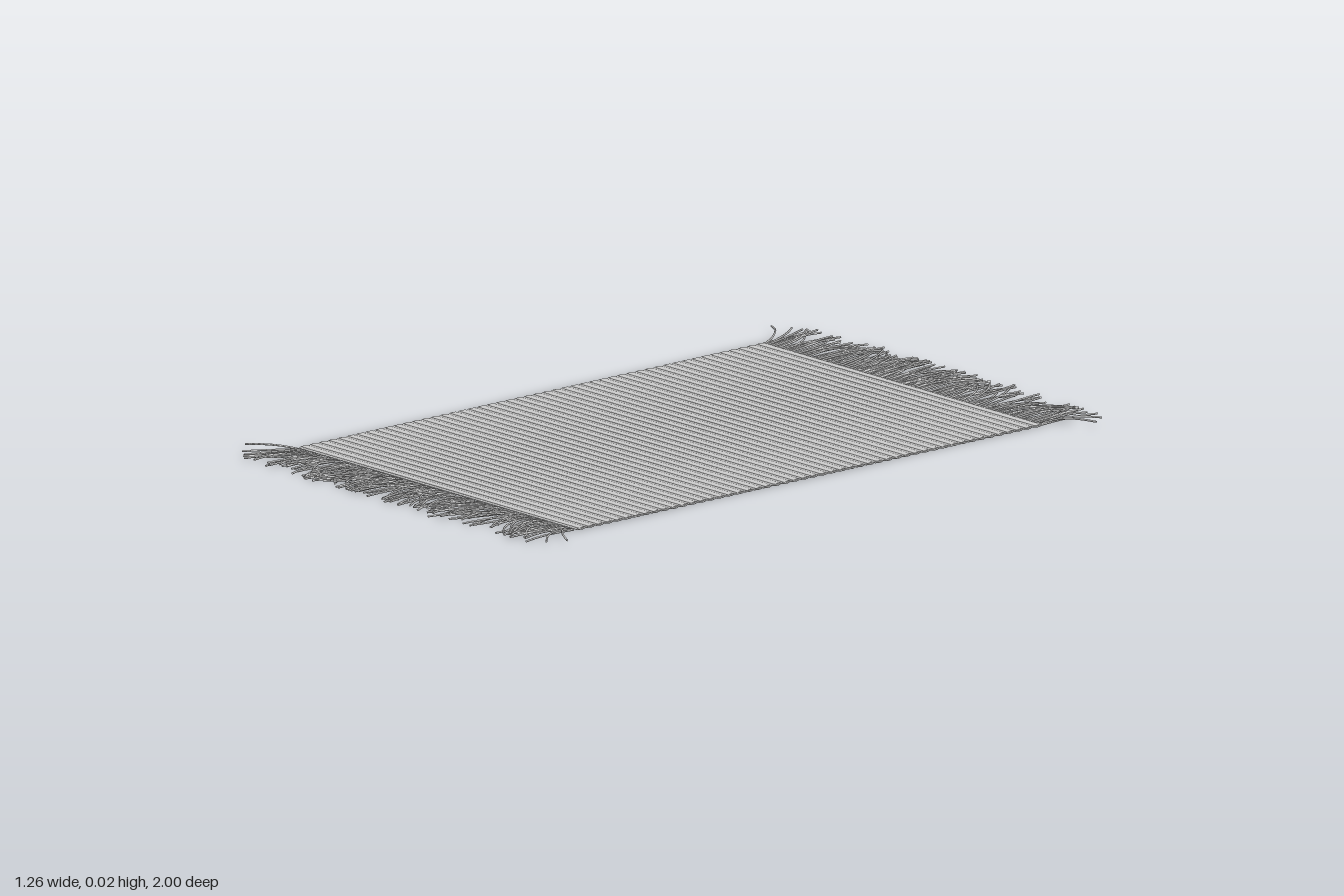
import * as THREE from 'three';
import { mergeGeometries } from 'three/addons/utils/BufferGeometryUtils.js';

const X0 = -0.545, X1 = 0.535;        // long edges of the woven field
const Z0 = -0.798, Z1 = 0.785;        // short edges of the woven field
const ROWS = 50, PITCH = (Z1 - Z0) / ROWS;

function seeded(seed) {
  return () => {
    seed = (seed * 16807) % 2147483647;
    return seed / 2147483647;
  };
}

// Flattened yarn running across the rug
function yarn(z, width, height) {
  const g = new THREE.CylinderGeometry(0.5, 0.5, X1 - X0, 10, 1);
  g.rotateZ(Math.PI / 2);
  g.scale(1, height, width);
  return g.translate((X0 + X1) / 2, height / 2, z);
}

// Half loop turning one row into the next at a long edge
function edgeLoop(side, z) {
  const g = new THREE.TorusGeometry(PITCH * 0.32, 0.003, 6, 8, Math.PI);
  g.rotateZ(-Math.PI / 2);
  g.rotateX(Math.PI / 2);
  g.scale(side * 0.6, 0.8, 1);
  if (side < 0) { // restore the winding after mirroring
    const a = g.index.array;
    for (let i = 0; i < a.length; i += 3) [a[i], a[i + 1]] = [a[i + 1], a[i]];
    g.computeVertexNormals();
  }
  return g.translate(side > 0 ? X1 - 0.003 : X0 + 0.003, 0.0026, z);
}

// One loose thread, bending sideways by dx and reaching out by length
function strand(x, dx, length, lift, end) {
  const points = [];
  for (let i = 0; i <= 4; i++) {
    const t = i / 4;
    points.push(new THREE.Vector3(
      x + dx * t * t,
      0.0035 + lift * Math.sin(t * 2.3),
      end * (0.795 + length * (t - 0.12 * t * t) / 0.88)));
  }
  return new THREE.TubeGeometry(new THREE.CatmullRomCurve3(points), 9, 0.0027, 5, false);
}

export function createModel() {
  const rug = new THREE.Group();
  rug.name = 'rug';
  const material = new THREE.MeshStandardMaterial({ color: 0xcccccc, side: THREE.DoubleSide });
  const add = (name, parts) => {
    const mesh = new THREE.Mesh(mergeGeometries(parts), material);
    mesh.name = name;
    rug.add(mesh);
  };

  // Alternating broad and narrow rows, joined along both long edges
  const broad = [], narrow = [], loops = [];
  for (let i = 0; i < ROWS; i++) {
    const z = Z0 + i * PITCH;
    broad.push(yarn(z + PITCH * 0.33, PITCH * 0.68, 0.006));
    narrow.push(yarn(z + PITCH * 0.83, PITCH * 0.36, 0.0045));
    for (const side of [-1, 1]) loops.push(edgeLoop(side, z + PITCH / 2));
  }
  add('broadRows', broad);
  add('narrowRows', narrow);
  add('edgeLoops', loops);

  // The same fringe is mirrored at both short ends
  const random = seeded(4217);
  const threads = [
    [-0.54, -0.088, 0.1, 0.016], [-0.535, -0.06, 0.14, 0.009],
    [0.53, 0.1, 0.105, 0.012], [0.525, 0.075, 0.15, 0.009],
  ];
  const COUNT = 120;
  for (let i = 0; i < COUNT; i++) {
    const x = X0 + (X1 - X0) * (i + random()) / COUNT;
    const spread = 0.03 * Math.sin(x * 17 + 1) + (random() - 0.5) * 0.11;
    const dx = THREE.MathUtils.clamp(x + spread, -0.57, 0.57) - x;
    const length = 0.12 + 0.075 * Math.sqrt(random()) - Math.abs(dx) * 0.3;
    threads.push([x, dx, length, 0.002 + random() * 0.007]);
  }
  // Denser tuft left of the middle
  for (let i = 0; i < 16; i++) {
    threads.push([-0.23 + random() * 0.28, (random() - 0.5) * 0.09, 0.13 + random() * 0.06, 0.004 + random() * 0.006]);
  }
  // Longest thread
  threads.push([0.23, -0.03, 0.203, 0.005]);
  add('frontFringe', threads.map((t) => strand(...t, 1)));
  add('backFringe', threads.map((t) => strand(...t, -1)));

  return rug;
}
